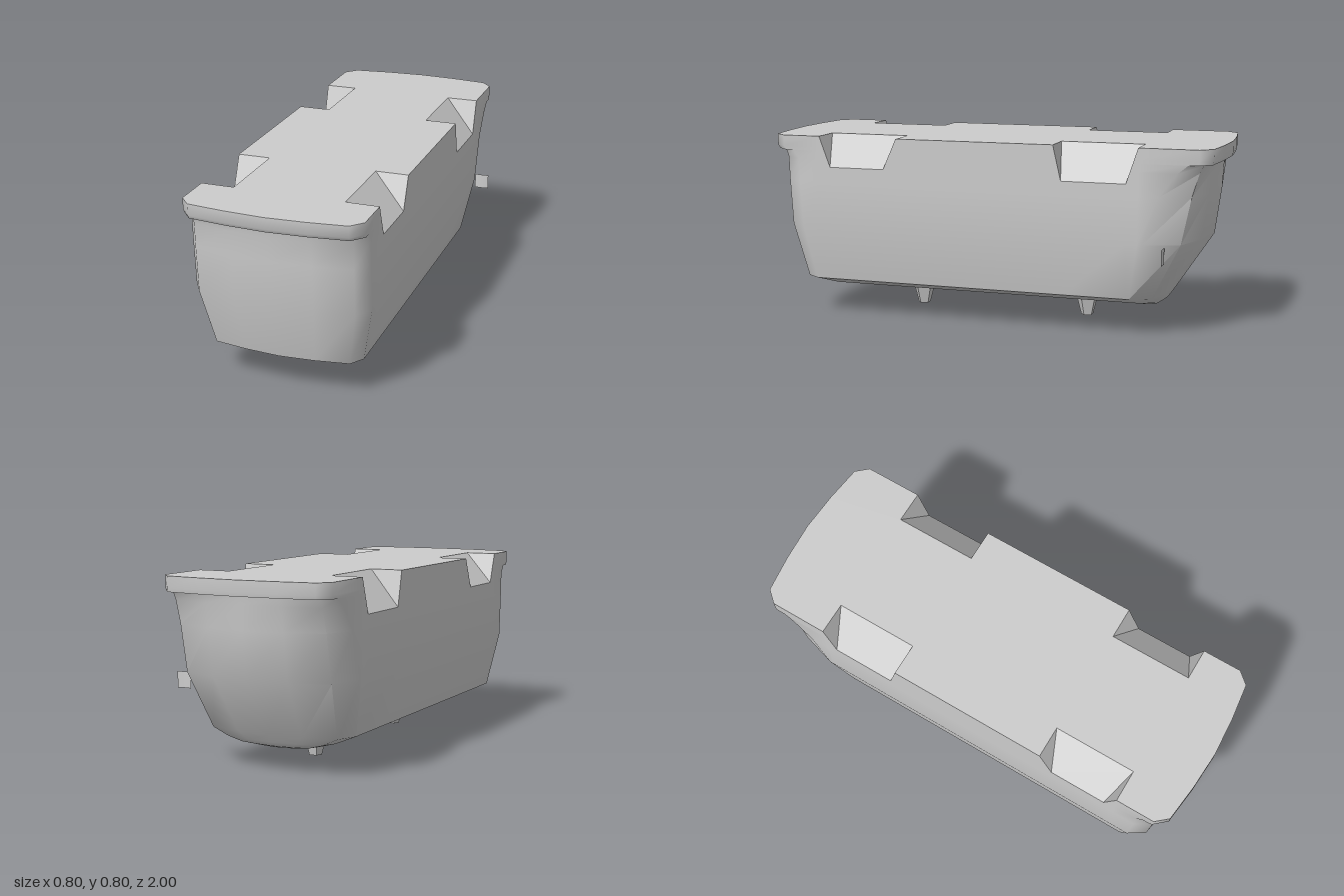
import * as THREE from 'three';
import { toCreasedNormals } from 'three/addons/utils/BufferGeometryUtils.js';

const TOP = 0.8, HALF = 0.375, INNER = 0.235, CENTRE_X = -0.025;
// notches along each side: top start/end z, bottom start/end z, bottom y
const NOTCHES = [
  { a: 0.75, b: 0.7, c: 0.45, d: 0.39, y: 0.665 },
  { a: -0.31, b: -0.345, c: -0.62, d: -0.67, y: 0.65 },
];
// hull levels: y, half width, front z, back z, front corner depth, back corner depth
const LEVELS = [
  [0.09, 0.001, 0.55, -0.66, 0.02, 0.02],
  [0.095, 0.085, 0.64, -0.7, 0.03, 0.03],
  [0.107, 0.175, 0.72, -0.735, 0.05, 0.06],
  [0.125, 0.25, 0.8, -0.748, 0.07, 0.09],
  [0.157, 0.328, 0.885, -0.77, 0.09, 0.14],
  [0.4, 0.375, 0.945, -0.93, 0.11, 0.24],
  [0.6, 0.375, 0.957, -0.957, 0.11, 0.2],
  [0.7, 0.375, 0.96, -0.962, 0.11, 0.13],
  [0.735, 0.375, 0.965, -0.965, 0.09, 0.09],
  [0.736, 0.375, 0.99, -0.997, 0.08, 0.08],
  [0.752, 0.375, 1.0, -1.0, 0.08, 0.08],
  [TOP, 0.375, 1.0, -1.0, 0.08, 0.08],
];
const CORNER = [[0, 0], [0.45, 0.12], [0.88, 0.36], [1, 1]];

// closed plan outline of one level, dipping under the notches
function ring([y, w, zf, zb, fc, bc]) {
  const half = CORNER.map(([x, d]) => [x * w, y, zf - d * fc]);
  const clampZ = (z) => Math.min(zf - fc, Math.max(zb + bc, z));
  for (const n of NOTCHES) {
    half.push([w, y, clampZ(n.a)], [w, Math.min(y, n.y), clampZ(n.b)],
      [w, Math.min(y, n.y), clampZ(n.c)], [w, y, clampZ(n.d)]);
  }
  for (const [x, d] of [...CORNER].reverse()) half.push([x * w, y, zb + d * bc]);
  const other = half.slice(1, -1).reverse().map(([x, py, z]) => [-x, py, z]);
  return [...half, ...other];
}

function fromTriangles(points) {
  const g = new THREE.BufferGeometry();
  g.setAttribute('position', new THREE.Float32BufferAttribute(points.flat(), 3));
  g.computeVertexNormals();
  return g;
}

function hullGeometry() {
  const rings = LEVELS.map(ring);
  const tris = [];
  for (let k = 0; k < rings.length - 1; k++) {
    const lo = rings[k], hi = rings[k + 1];
    for (let i = 0; i < lo.length; i++) {
      const j = (i + 1) % lo.length;
      tris.push(lo[i], lo[j], hi[j], lo[i], hi[j], hi[i]);
    }
  }
  return toCreasedNormals(fromTriangles(tris), 0.95);
}

// flat top with rectangular cutouts at the notches
function deckGeometry() {
  const outline = ring(LEVELS[LEVELS.length - 1]).flatMap(([x, y, z]) => {
    const n = NOTCHES.find((m) => y < TOP && (z === m.b || z === m.c));
    if (!n) return [new THREE.Vector2(x, -z)];
    return [new THREE.Vector2(Math.sign(x) * INNER, -(z === n.b ? n.a : n.d))];
  });
  return new THREE.ShapeGeometry(new THREE.Shape(outline)).rotateX(-Math.PI / 2).translate(0, TOP, 0);
}

// sloping floor and two triangular cheeks
function notchGeometry(n, side) {
  const p = (x, y, z) => [side * x, y, z];
  const A = p(HALF, TOP, n.a), B = p(HALF, n.y, n.b), C = p(HALF, n.y, n.c), D = p(HALF, TOP, n.d);
  const Ai = p(INNER, TOP, n.a), Di = p(INNER, TOP, n.d);
  const tris = [Ai, B, C, Ai, C, Di, A, B, Ai, D, Di, C];
  return fromTriangles(side > 0 ? tris : tris.reverse());
}

export function createModel() {
  const model = new THREE.Group();
  model.name = 'tub';
  const grey = new THREE.MeshStandardMaterial({ color: 0xcccccc });
  grey.name = 'light grey';
  const thin = grey.clone();
  thin.name = 'light grey thin';
  thin.side = THREE.DoubleSide;

  const add = (name, geometry, material = grey) => {
    const mesh = new THREE.Mesh(geometry, material);
    mesh.name = name;
    model.add(mesh);
    return mesh;
  };

  const body = [add('hull', hullGeometry()), add('deck', deckGeometry())];
  for (const n of NOTCHES) {
    for (const side of [1, -1]) {
      body.push(add(`${n.a > 0 ? 'front' : 'back'}${side > 0 ? 'Left' : 'Right'}Notch`, notchGeometry(n, side)));
    }
  }
  body.forEach((m) => { m.position.x = CENTRE_X; });

  // five-sided tapered feet with a short collar
  for (const [name, z] of [['front', 0.41], ['back', -0.37]]) {
    const foot = new THREE.CylinderGeometry(0.051, 0.028, 0.083, 5).toNonIndexed();
    foot.computeVertexNormals();
    add(`${name}Foot`, foot).position.set(CENTRE_X, 0.0415, z);
    add(`${name}FootCollar`, new THREE.CylinderGeometry(0.045, 0.05, 0.014, 10)).position.set(CENTRE_X, 0.09, z);
  }

  // small curled tab on the side
  const tab = new THREE.PlaneGeometry(0.065, 0.068, 4, 1);
  const pos = tab.attributes.position;
  for (let i = 0; i < pos.count; i++) pos.setZ(i, -3 * pos.getX(i) ** 2);
  tab.computeVertexNormals();
  const tabMesh = add('sideTab', tab, thin);
  tabMesh.position.set(0.3625, 0.355, -0.778);
  return model;
}
